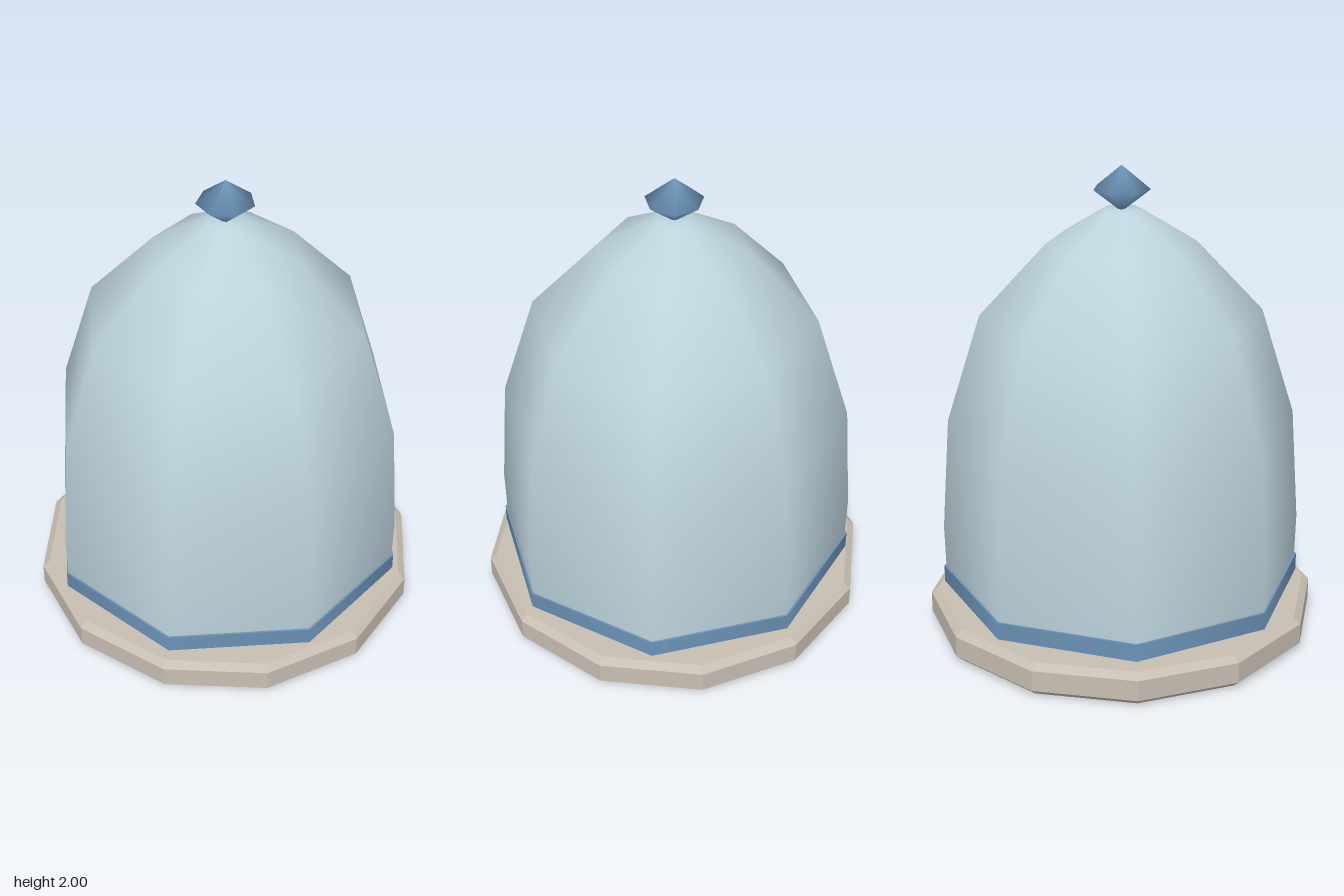
import * as THREE from 'three';

const glassBlue = new THREE.MeshStandardMaterial({ name: 'paleBlue', color: 0xbdd3dc, side: THREE.DoubleSide });
const trimBlue = new THREE.MeshStandardMaterial({ name: 'steelBlue', color: 0x6b93b8, side: THREE.DoubleSide });
const stone = new THREE.MeshStandardMaterial({ name: 'warmStone', color: 0xc8beb2 });

// Revolves a bottom-to-top profile of [radius, y] pairs, with one corner on +x
function lathe(profile, sides) {
  const points = profile.map(([r, y]) => new THREE.Vector2(r, y));
  return new THREE.LatheGeometry(points, sides, Math.PI / 2);
}

// Gives every face its own normal
function faceted(geometry) {
  const flat = geometry.toNonIndexed();
  flat.computeVertexNormals();
  return flat;
}

export function createModel() {
  const model = new THREE.Group();
  model.name = 'domedJar';

  function add(name, geometry, material) {
    const mesh = new THREE.Mesh(geometry, material);
    mesh.name = name;
    model.add(mesh);
    return mesh;
  }

  // Twelve-sided base plate with chamfered rims
  add('base', faceted(lathe([
    [0, 0], [0.805, 0], [0.835, 0.027], [0.835, 0.117], [0.805, 0.143], [0, 0.143],
  ], 12)), stone);

  // Eight-sided smooth dome, open below
  add('dome', lathe([
    [0.765, 0.175], [0.77, 0.43], [0.735, 0.92], [0.59, 1.38], [0.31, 1.68], [0.08, 1.82], [0, 1.82],
  ], 8), glassBlue);

  // Band round the lower edge of the dome
  add('band', lathe([[0.775, 0.17], [0.775, 0.245]], 8), trimBlue);
  add('bandTop', lathe([[0.775, 0.245], [0.76, 0.245]], 8), trimBlue);
  add('bandUnderside', lathe([[0.735, 0.17], [0.775, 0.17]], 8), trimBlue);

  // Seven-sided knob
  add('knob', lathe([[0, 1.808], [0.12, 1.904], [0, 2]], 7), trimBlue);

  // Small ball resting on the base inside the dome
  const ball = add('innerBall', new THREE.SphereGeometry(0.18, 10, 8), stone);
  ball.position.y = 0.315;

  return model;
}
